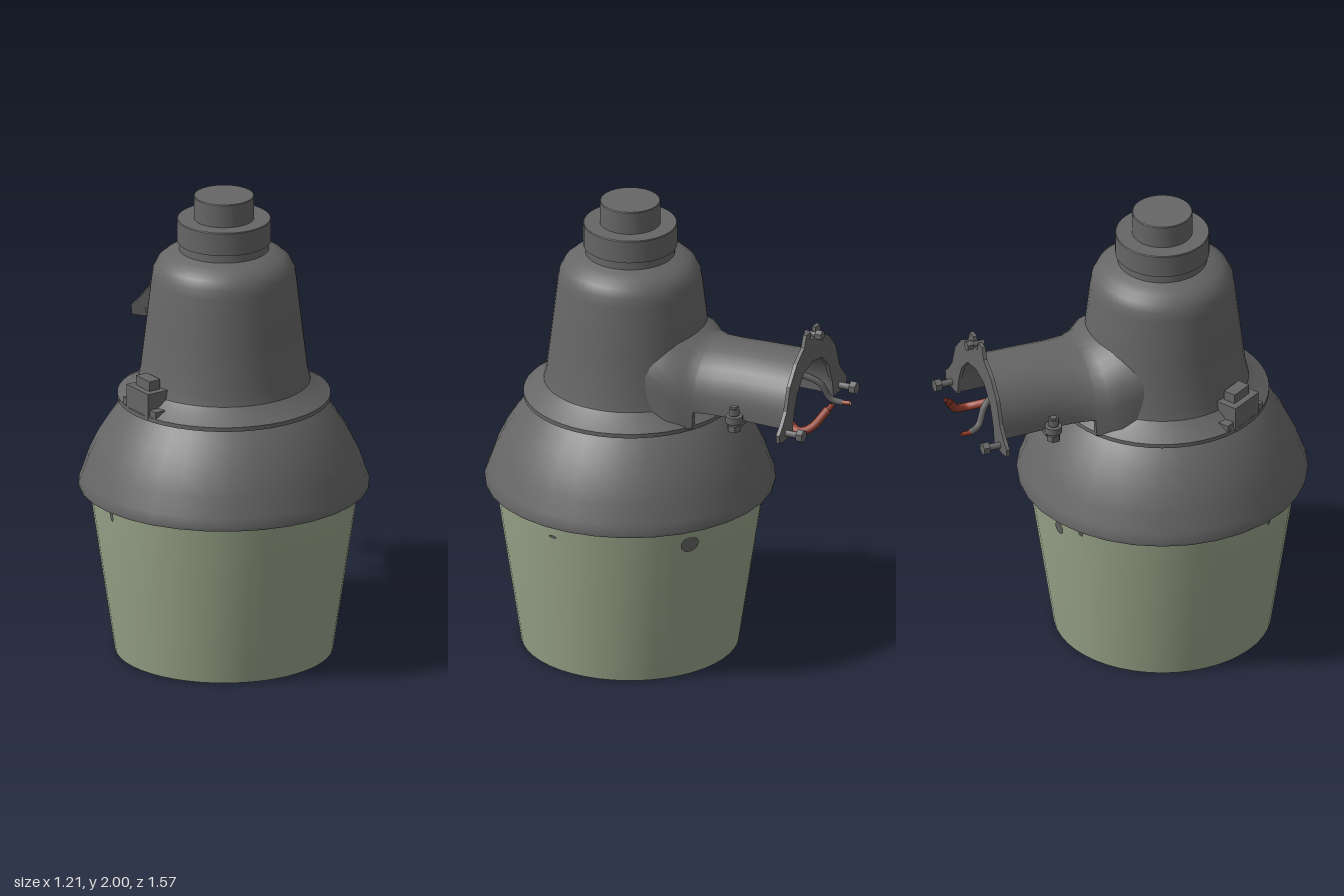
import * as THREE from 'three';
import { toCreasedNormals } from 'three/addons/utils/BufferGeometryUtils.js';

const AXIS_Z = 0.172; // vertical axis of the lamp body

const material = (name, color) => {
  const m = new THREE.MeshStandardMaterial({ color, side: THREE.DoubleSide });
  m.name = name;
  return m;
};

export function createModel() {
  const metal = material('dark grey metal', 0x666666);
  const glass = material('pale green glass', 0x98a388);
  const red = material('red wire', 0x99402f);
  const group = new THREE.Group();

  const add = (name, geometry, mat, x = 0, y = 0, z = 0) => {
    const mesh = new THREE.Mesh(geometry, mat);
    mesh.name = name;
    mesh.position.set(x, y, z);
    group.add(mesh);
    return mesh;
  };
  const lathe = (name, mat, profile, segments = 48) => add(name, toCreasedNormals(
    new THREE.LatheGeometry(profile.map(([r, y]) => new THREE.Vector2(r, y)), segments), 0.6), mat, 0, 0, AXIS_Z);

  // Open refractor with wall thickness
  lathe('refractor', glass, [[0.54, 0.76], [0.44, 0.004], [0.455, 0.004], [0.563, 0.73], [0.563, 0.76]]);

  // Dark patches lying on the refractor: angle from +x towards +z, height, half sizes
  const patches = [[-0.9, 0.65, 0.042, 0.036], [-1.87, 0.66, 0.025, 0.03], [-2.1, 0.69, 0.012, 0.014],
    [2.62, 0.695, 0.012, 0.03], [0.18, 0.665, 0.02, 0.007]];
  for (const [angle, y0, w, h] of patches) {
    const disc = new THREE.CircleGeometry(1, 14);
    const p = disc.attributes.position;
    for (let i = 0; i < p.count; i++) {
      const y = y0 + p.getY(i) * h;
      const r = 0.459 + 0.149 * y;
      const a = angle - (p.getX(i) * w) / r;
      p.setXYZ(i, r * Math.cos(a), y, r * Math.sin(a));
    }
    disc.computeVertexNormals();
    add('refractorPatch', disc, metal, 0, 0, AXIS_Z);
  }

  // Domed hood with rolled rim and inner skin
  lathe('hood', metal, [[0, 1.085], [0.37, 1.085], [0.44, 1.03], [0.505, 0.95], [0.55, 0.85], [0.575, 0.755],
    [0.585, 0.728], [0.605, 0.728], [0.607, 0.742], [0.592, 0.78], [0.565, 0.86], [0.527, 0.94],
    [0.48, 1.015], [0.43, 1.08], [0.39, 1.12]], 32);

  // Ballast housing with base flange and rounded shoulder
  lathe('housing', metal, [[0.38, 1.112], [0.445, 1.112], [0.445, 1.13], [0.39, 1.165], [0.36, 1.19], [0.349, 1.24],
    [0.325, 1.44], [0.302, 1.64], [0.295, 1.68], [0.277, 1.715], [0.25, 1.738], [0.215, 1.755],
    [0.187, 1.765], [0.185, 1.81]]);

  // Photocell on top
  lathe('photocellCollar', metal, [[0.18, 1.8], [0.196, 1.8], [0.196, 1.897], [0.193, 1.9], [0.1, 1.9]]);
  lathe('photocell', metal, [[0.126, 1.89], [0.126, 1.997], [0.123, 2], [0, 2]]);

  // Latch on the flange, turned to face outwards
  const latch = new THREE.Group();
  latch.name = 'latch';
  const latchPart = (w, h, d, x, y) => {
    const mesh = new THREE.Mesh(new THREE.BoxGeometry(w, h, d), metal);
    mesh.name = 'latchBlock';
    mesh.position.set(x, y, 0);
    latch.add(mesh);
  };
  latchPart(0.11, 0.11, 0.16, 0, 1.175);
  latchPart(0.055, 0.05, 0.1, 0, 1.247);
  latchPart(0.05, 0.03, 0.24, 0.02, 1.145);
  latch.position.set(-0.33, 0, 0.37);
  latch.rotation.y = Math.PI + 0.53;
  group.add(latch);

  // Arm: hollow arch lofted along z, flaring into the housing
  const stations = [[-0.655, 0.216, 1.455, 1.195], [-0.42, 0.212, 1.45, 1.197], [-0.3, 0.217, 1.445, 1.198],
    [-0.225, 0.234, 1.443, 1.2], [-0.22, 0.236, 1.443, 1.125], [-0.17, 0.255, 1.452, 1.125],
    [-0.12, 0.275, 1.49, 1.125], [0, 0.28, 1.52, 1.125]];
  const STEPS = 16;
  const arch = (w, top, bottom) => {
    const spring = top - Math.min(w, 0.215);
    const pts = [[w, bottom]];
    for (let i = 0; i <= STEPS; i++) {
      const a = (Math.PI * i) / STEPS;
      pts.push([w * Math.cos(a), spring + (top - spring) * Math.sin(a)]);
    }
    pts.push([-w, bottom]);
    return pts;
  };
  const armPoints = [], armFaces = [];
  let ring = 0;
  stations.forEach(([z, w, top, bottom], s) => {
    const loop = [...arch(w, top, bottom), ...arch(w - 0.025, top - 0.025, bottom).reverse()];
    ring = loop.length;
    loop.forEach(([x, y]) => armPoints.push(x, y, z));
    if (s === 0) return;
    for (let i = 0; i < ring; i++) {
      const j = (i + 1) % ring, a = (s - 1) * ring, b = s * ring;
      armFaces.push(a + i, b + j, b + i, a + i, a + j, b + j);
    }
  });
  // order corners so the outer skin faces outwards
  for (let i = 0; i < armFaces.length; i += 3) [armFaces[i + 1], armFaces[i + 2]] = [armFaces[i + 2], armFaces[i + 1]];
  const arm = new THREE.BufferGeometry();
  arm.setAttribute('position', new THREE.Float32BufferAttribute(armPoints, 3));
  arm.setIndex(armFaces);
  add('arm', toCreasedNormals(arm, 0.7), metal);

  // Mounting plate: crescent with two ears and a notched crest
  const half = [[0.2, 1.18], [0.19, 1.25], [0.155, 1.34], [0.09, 1.405], [0, 1.425]];
  const outer = [[0.018, 1.53], [0.025, 1.57], [0.065, 1.57], [0.085, 1.52], [0.16, 1.475], [0.225, 1.4],
    [0.26, 1.3], [0.3, 1.25], [0.333, 1.22], [0.33, 1.185], [0.28, 1.175]];
  const mirror = (pts) => pts.map(([x, y]) => [-x, y]).reverse();
  const outline = [...half, ...mirror(half).slice(1), ...mirror(outer), ...outer];
  const plate = new THREE.ExtrudeGeometry(new THREE.Shape(outline.map(([x, y]) => new THREE.Vector2(x, y))),
    { depth: 0.016, bevelEnabled: false });
  add('mountingPlate', plate, metal, 0, 0, -0.668);

  // Bolts: shaft and hexagonal head
  const bolt = (name, x, y, z, length, alongZ, r = 0.014) => {
    const b = new THREE.Group();
    b.name = name;
    const shaft = new THREE.Mesh(new THREE.CylinderGeometry(r, r, length, 10), metal);
    const head = new THREE.Mesh(toCreasedNormals(new THREE.CylinderGeometry(r * 2, r * 2, 0.028, 6), 0.3), metal);
    shaft.name = 'boltShaft';
    head.name = 'boltHead';
    head.position.y = -length / 2 + 0.014;
    b.add(shaft, head);
    b.position.set(x, y, z);
    if (alongZ) b.rotation.x = Math.PI / 2;
    if (alongZ) b.rotation.y = Math.PI;
    group.add(b);
    return b;
  };
  for (const side of [-1, 1]) {
    bolt('plateBolt', side * 0.262, 1.205, -0.69, 0.115, true);
    bolt('clampBolt', side * 0.247, 1.218, -0.42, 0.11, false, 0.015);
    add('clampLug', new THREE.CylinderGeometry(0.036, 0.036, 0.03, 12), metal, side * 0.245, 1.215, -0.42);
    add('clampNut', new THREE.CylinderGeometry(0.024, 0.024, 0.03, 6), metal, side * 0.247, 1.25, -0.42);
  }
  bolt('crestBolt', 0, 1.55, -0.672, 0.08, true, 0.011);

  // Clamp saddle bridging the open underside of the arm
  const saddle = new THREE.BoxGeometry(0.5, 0.016, 0.07, 16, 1, 1);
  const sp = saddle.attributes.position;
  for (let i = 0; i < sp.count; i++) {
    const t = Math.min(1, Math.abs(sp.getX(i)) / 0.2);
    sp.setY(i, sp.getY(i) + 0.035 * (1 + Math.cos(Math.PI * t)));
  }
  saddle.computeVertexNormals();
  add('clampSaddle', saddle, metal, 0, 1.195, -0.42);

  // Supply wires
  const wire = (name, mat, r, pts) => add(name, new THREE.TubeGeometry(
    new THREE.CatmullRomCurve3(pts.map((p) => new THREE.Vector3(...p))), 24, r, 8), mat);
  wire('redWire', red, 0.018, [[-0.02, 1.26, -0.48], [0.07, 1.2, -0.57], [0.13, 1.158, -0.66],
    [0.11, 1.175, -0.71], [0.06, 1.25, -0.765]]);
  wire('redWireTip', red, 0.011, [[0.062, 1.245, -0.762], [0.052, 1.27, -0.782]]);
  wire('greyWire', metal, 0.014, [[-0.04, 1.34, -0.56], [-0.08, 1.29, -0.66], [-0.105, 1.215, -0.7], [-0.12, 1.2, -0.745]]);
  wire('greyWireTip', red, 0.01, [[-0.12, 1.2, -0.74], [-0.122, 1.203, -0.783]]);

  return group;
}
